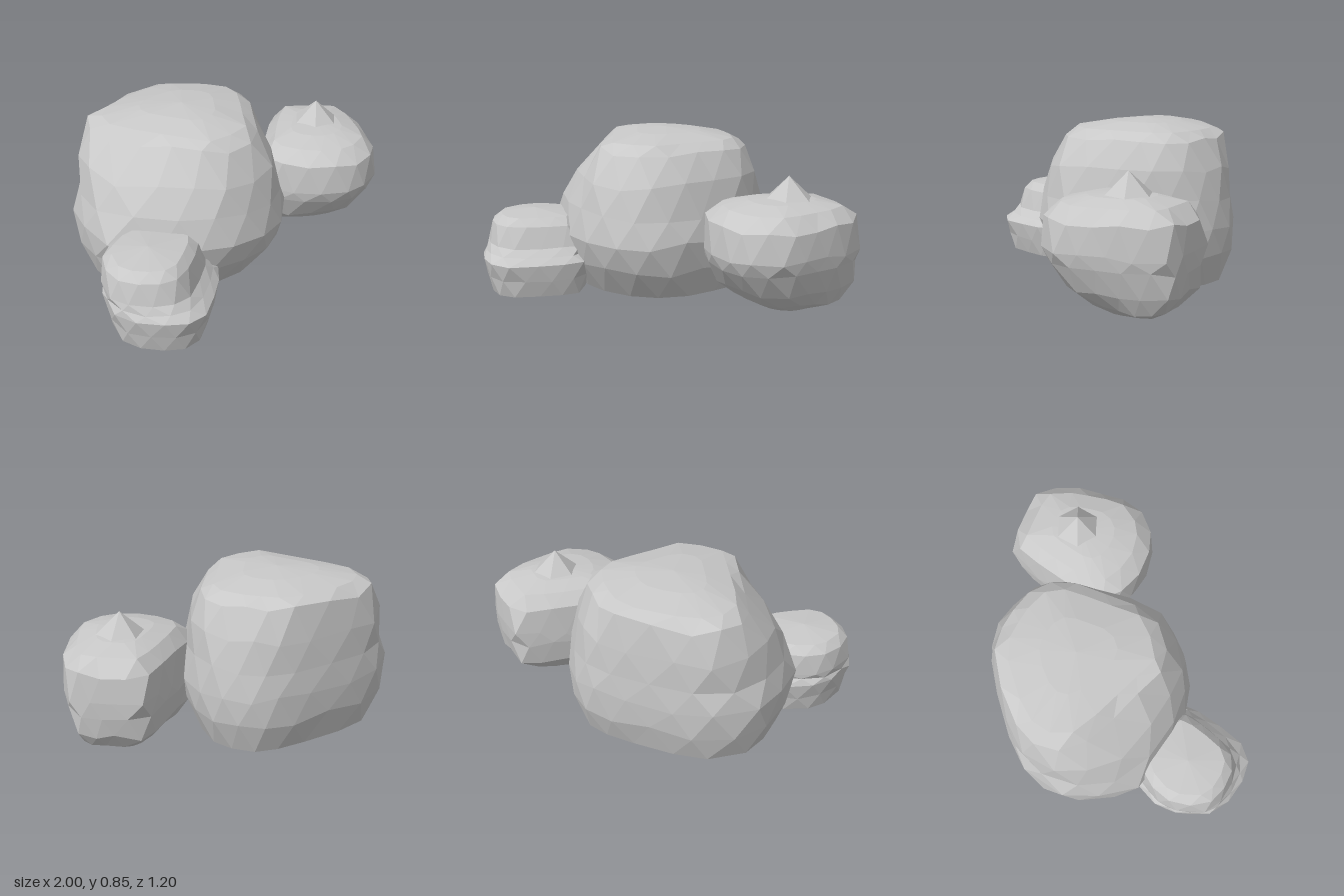
import * as THREE from 'three';

// Small seeded random, for uneven facets
let seed = 7;
const rand = () => {
  seed = (seed * 16807) % 2147483647;
  return seed / 2147483647;
};

// A ring is a list of [x, y, z] corners, running clockwise seen from above
const scaled = (outline, [cx, cz], y, sx, sz = sx, dx = 0, dz = 0) =>
  outline.map(([x, z]) => [cx + (x - cx) * sx + dx, y, cz + (z - cz) * sz + dz]);
const blend = (a, b, t, y) =>
  a.map(([x, z], i) => [x + (b[i][0] - x) * t, y, z + (b[i][1] - z) * t]);

// Move every corner of a ring half way to the next one
const staggered = (ring) =>
  ring.map((p, i) => p.map((v, axis) => (v + ring[(i + 1) % ring.length][axis]) / 2));

// Skin a stack of rings with triangles, closed by a flat base and an apex
function rockGeometry(stack, apex, rough) {
  const rings = stack.map((ring, k) => (k % 2 ? staggered(ring) : ring));
  // Roughen the flanks; base and crown stay even
  rings.slice(1, -2).forEach((ring) => ring.forEach((p) => {
    const pull = 1 + (rand() - 0.5) * rough;
    p[0] = apex[0] + (p[0] - apex[0]) * pull;
    p[1] += (rand() - 0.5) * rough * 2;
    p[2] = apex[2] + (p[2] - apex[2]) * pull;
  }));
  const n = rings[0].length;
  const pos = [];
  const tri = (a, b, c) => pos.push(...a, ...b, ...c);
  const base = [apex[0], 0, apex[2]];
  const top = rings[rings.length - 1];
  for (let i = 0; i < n; i++) {
    const j = (i + 1) % n;
    tri(rings[0][i], rings[0][j], base);
    for (let k = 0; k < rings.length - 1; k++) {
      const a = rings[k][i], b = rings[k][j], c = rings[k + 1][i], d = rings[k + 1][j];
      if (k % 2 === 0) {
        tri(a, c, b);
        tri(b, c, d);
      } else {
        tri(a, c, d);
        tri(a, d, b);
      }
    }
    tri(top[i], apex, top[j]);
  }
  const geo = new THREE.BufferGeometry();
  geo.setAttribute('position', new THREE.Float32BufferAttribute(pos, 3));
  geo.computeVertexNormals();
  return geo;
}

export function createModel() {
  const group = new THREE.Group();
  const stone = new THREE.MeshStandardMaterial({ color: 0xc8c8c8, flatShading: true });
  stone.name = 'light grey stone';
  const add = (name, geo) => {
    const mesh = new THREE.Mesh(geo, stone);
    mesh.name = name;
    group.add(mesh);
    return mesh;
  };

  // Large boulder: widest outline and the edge of its flat top
  const girth = [
    [-0.30, -0.60], [-0.05, -0.59], [0.13, -0.57], [0.26, -0.52], [0.35, -0.40], [0.395, -0.26],
    [0.37, -0.07], [0.28, 0.12], [0.18, 0.29], [0.03, 0.41], [-0.14, 0.45], [-0.33, 0.42],
    [-0.48, 0.34], [-0.62, 0.19], [-0.77, -0.03], [-0.75, -0.24], [-0.69, -0.42], [-0.50, -0.57],
  ];
  const shoulder = [
    [-0.30, -0.56], [-0.05, -0.56], [0.09, -0.51], [0.17, -0.43], [0.24, -0.35], [0.31, -0.22],
    [0.29, -0.10], [0.20, 0.02], [0.10, 0.14], [-0.01, 0.28], [-0.16, 0.30], [-0.31, 0.28],
    [-0.38, 0.14], [-0.45, 0.00], [-0.53, -0.16], [-0.59, -0.32], [-0.55, -0.45], [-0.45, -0.53],
  ];
  const mid = [-0.19, -0.08], crown = [-0.14, -0.16];
  add('largeBoulder', rockGeometry([
    scaled(girth, mid, 0, 0.88, 0.79, 0, -0.05),
    scaled(girth, mid, 0.16, 0.99, 0.96, 0, -0.02),
    scaled(girth, mid, 0.31, 1),
    blend(girth, shoulder, 0.14, 0.45),
    blend(girth, shoulder, 0.45, 0.6),
    scaled(shoulder, crown, 0.755, 1),
    scaled(shoulder, crown, 0.8, 0.83),
    scaled(shoulder, crown, 0.832, 0.45),
  ], [-0.14, 0.845, -0.16], 0.022));

  // Medium boulder, rounded underneath
  const medium = [
    [0.73, -0.28], [0.85, -0.18], [0.93, -0.11], [1.0, -0.02], [0.96, 0.13], [0.90, 0.24],
    [0.83, 0.36], [0.75, 0.46], [0.60, 0.50], [0.49, 0.48], [0.36, 0.40], [0.27, 0.28],
    [0.22, 0.15], [0.25, 0.05], [0.36, -0.04], [0.49, -0.14], [0.61, -0.22],
  ];
  const mc = [0.62, 0.11];
  add('mediumBoulder', rockGeometry([
    scaled(medium, mc, 0, 0.42, 0.34, 0.03, -0.06),
    scaled(medium, mc, 0.05, 0.76, 0.56, 0.02, -0.05),
    scaled(medium, mc, 0.13, 0.9, 0.81, 0.01, -0.04),
    scaled(medium, mc, 0.25, 1, 0.97, 0, -0.01),
    scaled(medium, mc, 0.32, 1),
    scaled(medium, mc, 0.47, 0.99, 0.98),
    scaled(medium, mc, 0.535, 0.76),
    scaled(medium, mc, 0.565, 0.45),
  ], [0.63, 0.578, 0.1], 0.014));

  // Pointed chip on the medium boulder
  const chip = add('pointedChip', new THREE.ConeGeometry(0.13, 0.12, 6));
  chip.position.set(0.65, 0.62, 0.09);
  chip.rotation.y = 0.2;

  // Small boulder with a stepped ledge in front
  const small = [
    [-0.72, -0.02], [-0.58, -0.02], [-0.49, 0.06], [-0.42, 0.2], [-0.38, 0.36], [-0.45, 0.44],
    [-0.56, 0.52], [-0.69, 0.60], [-0.80, 0.60], [-0.89, 0.53], [-0.97, 0.42], [-1.0, 0.30],
    [-0.94, 0.13], [-0.86, 0.04],
  ];
  const sc = [-0.7, 0.29];
  add('smallBoulder', rockGeometry([
    scaled(small, sc, 0, 0.87, 0.85),
    scaled(small, sc, 0.09, 0.96, 0.94),
    scaled(small, sc, 0.18, 1),
    scaled(small, sc, 0.215, 0.97, 0.9, -0.01, -0.01),
    scaled(small, sc, 0.25, 0.92, 0.82, -0.02, -0.03),
    scaled(small, sc, 0.36, 0.84, 0.76, -0.03, -0.04),
    scaled(small, sc, 0.4, 0.66, 0.6, -0.03, -0.04),
  ], [-0.74, 0.42, 0.25], 0.006));

  return group;
}
